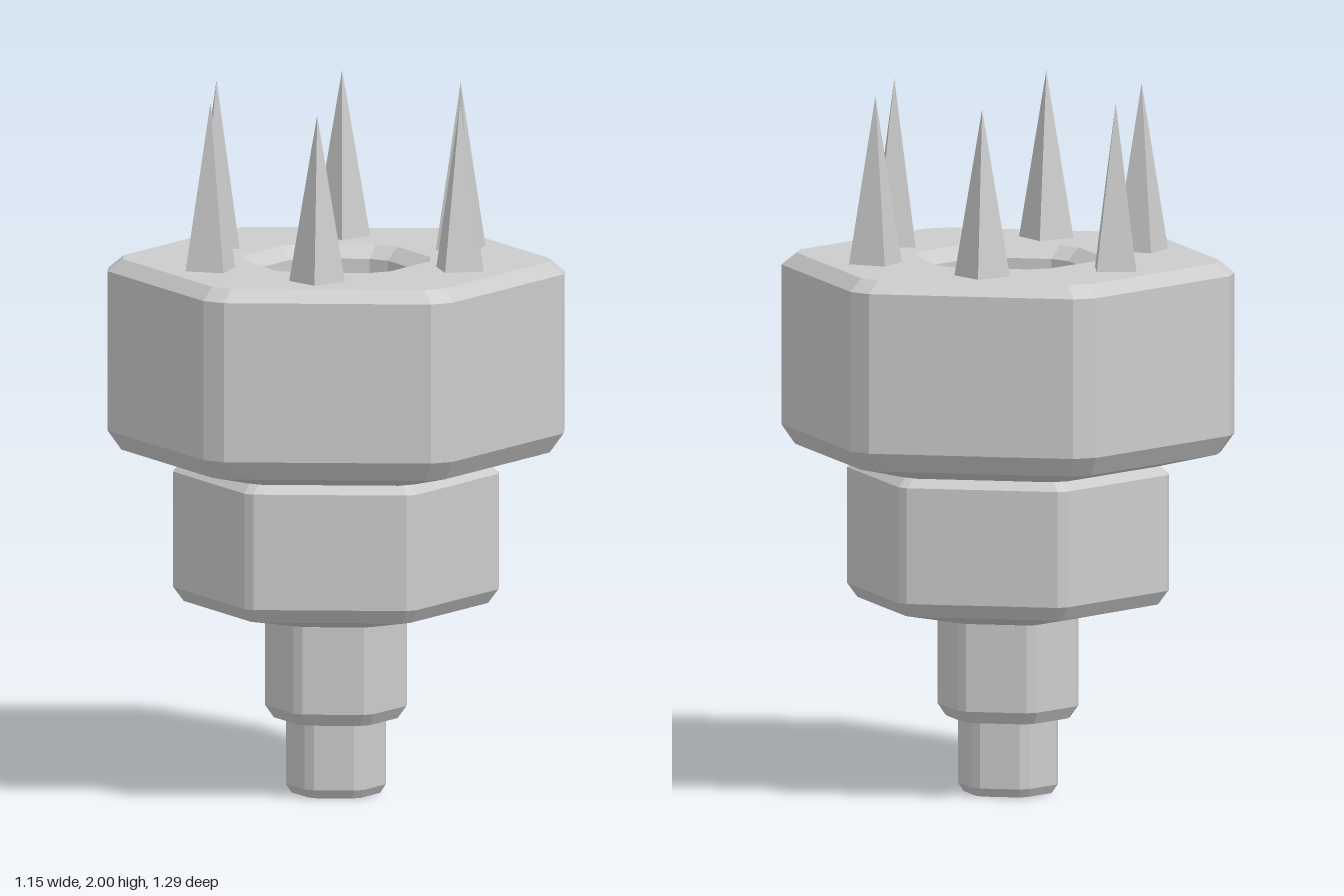
import * as THREE from 'three';

const material = new THREE.MeshStandardMaterial({ color: 0xcccccc, flatShading: true });

// Hexagon with clipped corners pointing along z: a = distance to flats, c = distance to clipped corners
function hexRing([a, c, y]) {
  const half = 2 * a - c * Math.sqrt(3);
  const ring = [];
  for (let k = 0; k < 6; k++) {
    const t = Math.PI / 2 + (k * Math.PI) / 3;
    for (const s of [-half, half]) {
      ring.push([Math.cos(t) * c - Math.sin(t) * s, y, Math.sin(t) * c + Math.cos(t) * s]);
    }
  }
  return ring;
}

// Joins the rings of a profile and closes both ends
function hexLoft(profile) {
  const rings = profile.map(hexRing);
  const pos = [];
  const tri = (...points) => points.forEach((p) => pos.push(...p));
  for (let i = 0; i < rings.length - 1; i++) {
    const low = rings[i], high = rings[i + 1];
    for (let j = 0; j < 12; j++) {
      const n = (j + 1) % 12;
      tri(low[n], low[j], high[j]);
      tri(low[n], high[j], high[n]);
    }
  }
  const first = rings[0], last = rings[rings.length - 1];
  for (let j = 1; j < 11; j++) {
    tri(first[0], first[j], first[j + 1]);
    tri(last[0], last[j + 1], last[j]);
  }
  const geometry = new THREE.BufferGeometry();
  geometry.setAttribute('position', new THREE.Float32BufferAttribute(pos, 3));
  geometry.computeVertexNormals();
  return geometry;
}

export function createModel() {
  const group = new THREE.Group();
  const add = (name, geometry) => {
    const mesh = new THREE.Mesh(geometry, material);
    mesh.name = name;
    group.add(mesh);
    return mesh;
  };

  // Stacked tiers, from the foot up
  add('footTier', hexLoft([
    [0.115, 0.125, 0], [0.13, 0.141, 0.025], [0.13, 0.141, 0.215],
  ]));
  add('stemTier', hexLoft([
    [0.16, 0.175, 0.215], [0.181, 0.2, 0.25], [0.181, 0.2, 0.5],
  ]));
  add('middleTier', hexLoft([
    [0.18, 0.2, 0.5], [0.378, 0.43, 0.545], [0.405, 0.459, 0.585],
    [0.405, 0.459, 0.915], [0.38, 0.43, 0.94],
  ]));

  // Head tier, whose profile continues down into the socket
  add('headTier', hexLoft([
    [0.385, 0.43, 0.94], [0.54, 0.605, 0.98], [0.575, 0.644, 1.035],
    [0.575, 0.644, 1.49], [0.537, 0.601, 1.525],
    [0.248, 0.266, 1.525], [0.21, 0.225, 1.49],
    [0.21, 0.225, 1.37], [0.17, 0.178, 1.335],
  ]));

  // Four-sided spikes around the socket, one diagonal pointing outward
  const spike = new THREE.ConeGeometry(0.079, 0.475, 4, 1);
  spike.translate(0, 0.2375, 0);
  const places = [
    [0.397, 0, 0], [-0.4, 0, 0],
    [0.2, -0.345, 62], [-0.2, -0.345, -62],
    [0.225, 0.325, -60], [-0.23, 0.325, 57],
  ];
  for (const [x, z, turn] of places) {
    const mesh = add('spike', spike);
    mesh.position.set(x, 1.525, z);
    mesh.rotation.y = THREE.MathUtils.degToRad(turn);
  }
  return group;
}
